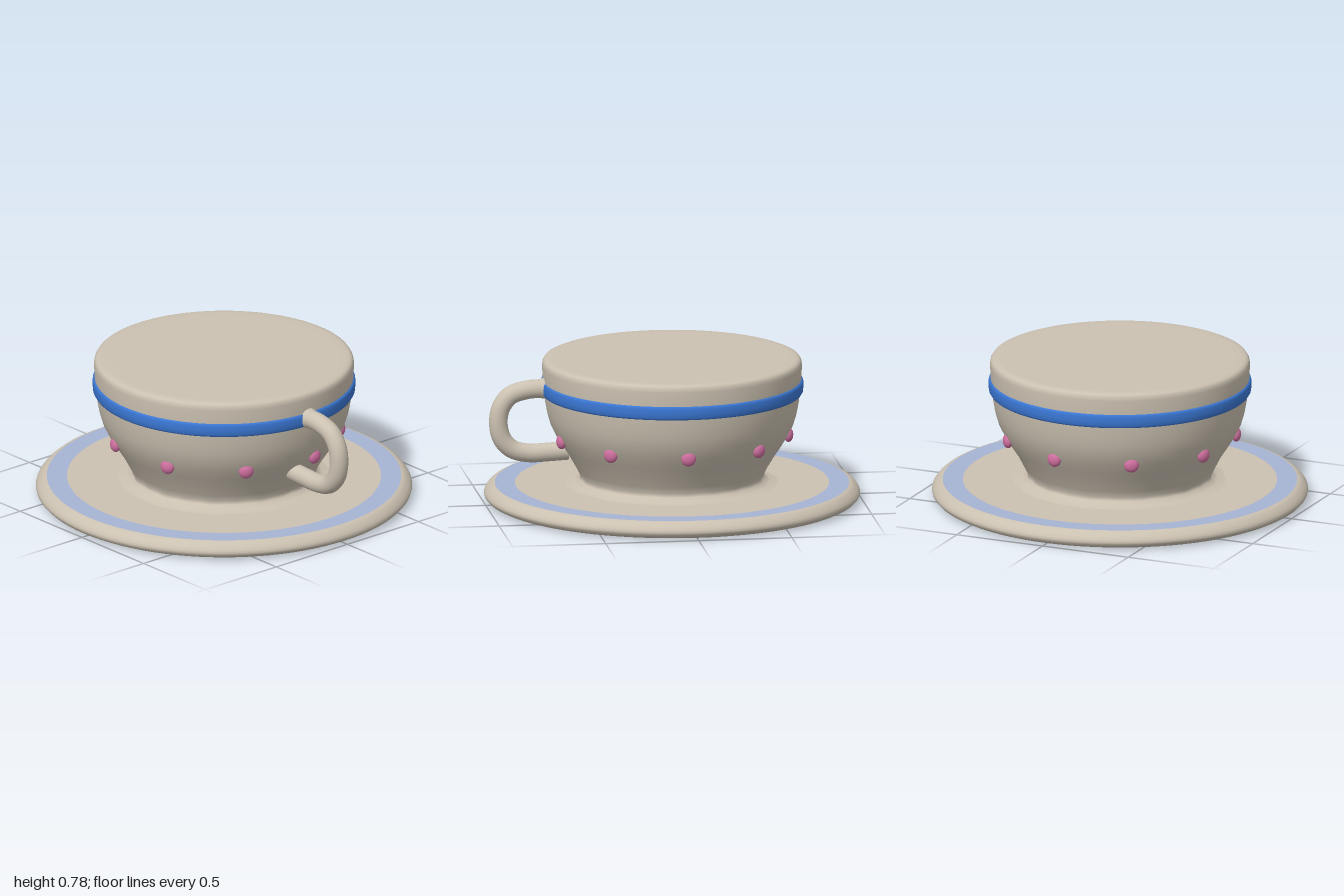
import * as THREE from 'three';

const mat = (name, color) => {
  const m = new THREE.MeshStandardMaterial({ color });
  m.name = name;
  return m;
};

export function createModel() {
  const cream = mat('cream glaze', 0xcbc1b1);
  const blue = mat('blue glaze', 0x3a76d2);
  const paleBlue = mat('pale blue glaze', 0xa6b3d4);
  const pink = mat('pink glaze', 0xcf6f9f);

  const group = new THREE.Group();
  group.name = 'cupAndSaucer';
  const add = (name, geometry, material) => {
    const mesh = new THREE.Mesh(geometry, material);
    mesh.name = name;
    group.add(mesh);
    return mesh;
  };
  // Profile of [radius, height] pairs, from bottom to top
  const lathe = (pairs) =>
    new THREE.LatheGeometry(pairs.map(([r, y]) => new THREE.Vector2(r, y)), 96);

  // Saucer: flat underside, rounded rim, painted ring and inner plate
  add('saucerRim', lathe([
    [0, 0.004], [0.9, 0.004], [0.94, 0.006], [0.965, 0.012], [0.985, 0.022], [0.997, 0.035],
    [1, 0.047], [0.996, 0.06], [0.985, 0.075], [0.968, 0.09], [0.955, 0.097], [0.942, 0.1],
  ]), cream);
  add('saucerRing', lathe([[0.942, 0.1], [0.835, 0.1]]), paleBlue);
  add('saucerPlate', lathe([[0.835, 0.1], [0, 0.1]]), cream);

  // Cup body with flared foot and closed, softly rounded top; faint folds at the foot
  const cup = lathe([
    [0.57, 0.099], [0.52, 0.108], [0.492, 0.125], [0.488, 0.145], [0.505, 0.18], [0.545, 0.25],
    [0.578, 0.3], [0.615, 0.36], [0.645, 0.42], [0.663, 0.48], [0.674, 0.54], [0.682, 0.6],
    [0.688, 0.67], [0.691, 0.74], [0.688, 0.76], [0.68, 0.772], [0.665, 0.778], [0.64, 0.78],
    [0.6, 0.78], [0, 0.78],
  ]);
  const pos = cup.attributes.position;
  for (let i = 0; i < pos.count; i++) {
    const x = pos.getX(i), y = pos.getY(i), z = pos.getZ(i);
    if (y > 0.24) continue;
    const a = Math.atan2(z, x);
    const s = 1 + 0.012 * Math.sin(17 * a) * Math.cos(6 * a + 1);
    pos.setX(i, x * s);
    pos.setZ(i, z * s);
  }
  add('cupBody', cup, cream);

  // Raised band below the lip
  add('cupBand', lathe([
    [0.675, 0.588], [0.69, 0.591], [0.697, 0.602], [0.699, 0.626],
    [0.698, 0.65], [0.694, 0.661], [0.68, 0.666],
  ]), blue);

  // Handle on the left side, with a thicker root at the upper end
  const path = new THREE.CatmullRomCurve3([
    [0.56, 0.29], [0.66, 0.285], [0.77, 0.283], [0.855, 0.305], [0.91, 0.36], [0.932, 0.44],
    [0.92, 0.53], [0.87, 0.597], [0.78, 0.627], [0.7, 0.632], [0.64, 0.635],
  ].map(([x, y]) => new THREE.Vector3(x, y, 0)));
  add('handle', new THREE.TubeGeometry(path, 56, 0.05, 20), cream);
  const root = add('handleRoot', new THREE.SphereGeometry(0.055, 24, 16), cream);
  root.position.set(0.685, 0.632, 0);

  // Nine raised dots around the cup
  for (let i = 0; i < 9; i++) {
    const a = THREE.MathUtils.degToRad(30 + 40 * i);
    const dot = add('dot', new THREE.SphereGeometry(0.04, 20, 14), pink);
    dot.position.set(0.619 * Math.cos(a), 0.363, 0.619 * Math.sin(a));
    dot.rotation.y = -a;
    dot.scale.set(0.65, 1, 1);
  }
  return group;
}
